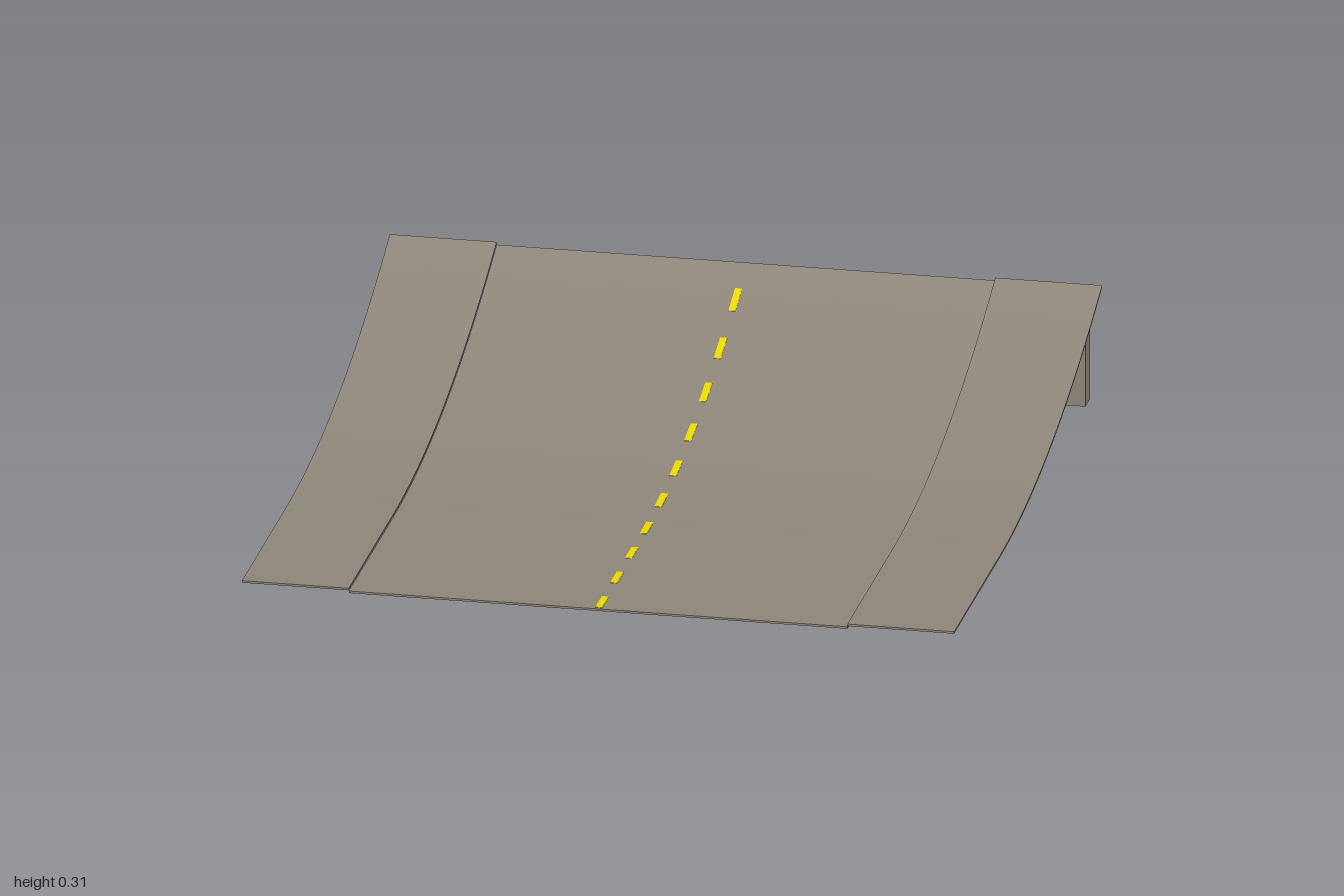
import * as THREE from 'three';

// Height of the ramp curve: flat at the front, then rising to the back edge
const rise = (z) => (z < 0.4 ? 0.294 * ((0.4 - z) / 1.4) ** 2 : 0);

// Thin slab that follows the ramp curve between two depths
function slab(x0, x1, zFront, zBack, y, thick, steps) {
  const top = [], bottom = [];
  for (let i = 0; i <= steps; i++) {
    const z = zFront + ((zBack - zFront) * i) / steps;
    bottom.push(new THREE.Vector2(-z, y + rise(z)));
    top.unshift(new THREE.Vector2(-z, y + thick + rise(z)));
  }
  const geo = new THREE.ExtrudeGeometry(new THREE.Shape([...bottom, ...top]), {
    depth: x1 - x0, bevelEnabled: false,
  });
  return geo.rotateY(Math.PI / 2).translate(x0, 0, 0);
}

export function createModel() {
  const model = new THREE.Group();
  model.name = 'ramp';
  const concrete = new THREE.MeshStandardMaterial({ color: 0x8c8478 });
  concrete.name = 'concrete';
  const yellow = new THREE.MeshStandardMaterial({ color: 0xe6d600 });
  yellow.name = 'line yellow';

  const add = (name, geo, mat) => {
    const mesh = new THREE.Mesh(geo, mat);
    mesh.name = name;
    model.add(mesh);
  };

  // Road deck
  add('roadDeck', slab(-0.7, 0.7, 1, -1, 0.002, 0.006, 48), concrete);

  for (const side of [-1, 1]) {
    const label = side > 0 ? 'left' : 'right';
    // Slightly raised side strip
    const inner = side * 0.7, outer = side;
    add(label + 'SideStrip',
      slab(Math.min(inner, outer), Math.max(inner, outer), 1, -1, 0.01, 0.006, 48), concrete);

    // Support leg, its top sheared to meet the underside of the strip
    const leg = new THREE.BoxGeometry(0.06, 1, 0.06).translate(side * 0.95, 0.5, -0.9);
    const p = leg.attributes.position;
    for (let i = 0; i < p.count; i++) {
      if (p.getY(i) > 0.5) p.setY(i, rise(p.getZ(i)) + 0.012);
    }
    leg.computeVertexNormals();
    add(label + 'SupportLeg', leg, concrete);
  }

  // Dashed centre line, just proud of both faces of the deck
  for (let i = 0; i < 10; i++) {
    const zBack = -0.9 + i * 0.2;
    add('centreDash' + (i + 1),
      slab(-0.01, 0.01, zBack + 0.09, zBack, 0.001, 0.008, 4), yellow);
  }
  return model;
}
